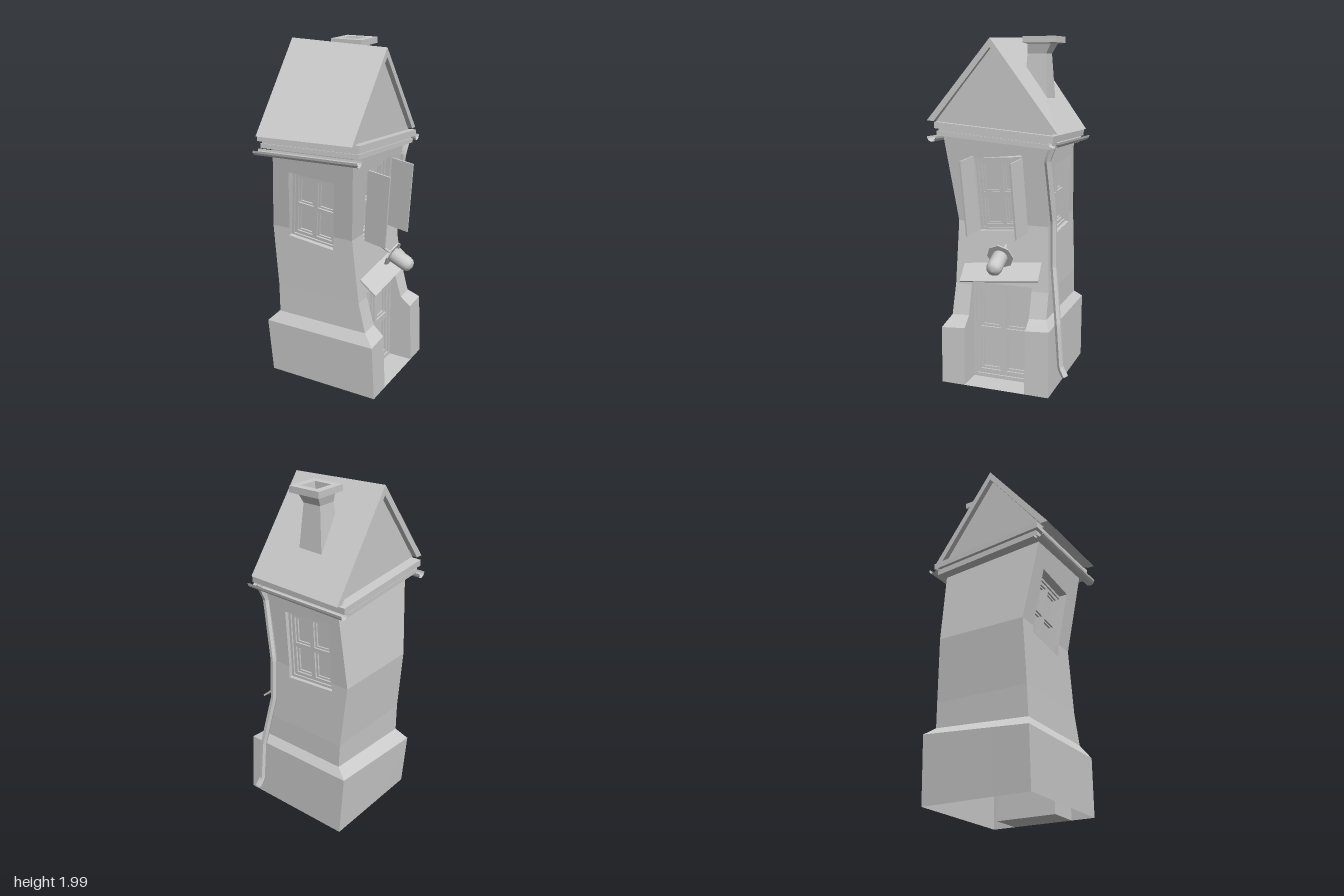
import * as THREE from 'three';
import { mergeGeometries } from 'three/addons/utils/BufferGeometryUtils.js';

const mat = new THREE.MeshStandardMaterial({ color: 0xcccccc, flatShading: true, side: THREE.DoubleSide });
const smooth = new THREE.MeshStandardMaterial({ color: 0xcccccc });
const V = (x, y, z) => new THREE.Vector3(x, y, z);
const lerp = THREE.MathUtils.lerp;

function add(parent, name, geo, material = mat) {
  const m = new THREE.Mesh(geo, material);
  m.name = name;
  parent.add(m);
  return m;
}

// Crooked tower profile: y, left x, right x, back z, front z, slope of the level along z
const LEVELS = [
  [0.01, -0.375, 0.325, -0.34, 0.31, 0],
  [0.365, -0.4, 0.31, -0.335, 0.315, -0.077],
  [0.42, -0.335, 0.245, -0.3, 0.275, -0.06],
  [0.58, -0.34, 0.2, -0.297, 0.27, 0],
  [0.95, -0.37, 0.155, -0.275, 0.265, 0],
  [1.45, -0.305, 0.2, -0.29, 0.337, 0],
];
function profile(y) {
  let i = 0;
  while (i < LEVELS.length - 2 && y > LEVELS[i + 1][0]) i++;
  const A = LEVELS[i], B = LEVELS[i + 1], t = (y - A[0]) / (B[0] - A[0]);
  return A.slice(1).map((v, k) => lerp(v, B[k + 1], t));
}

// Indices into the profile: outward face, left edge and right edge seen from outside
const SIDES = {
  left: { out: 0, a: 2, b: 3 },
  right: { out: 1, a: 3, b: 2 },
  back: { out: 2, a: 1, b: 0 },
  front: { out: 3, a: 0, b: 1 },
};
function place(side, c, y, out) {
  const p = profile(y), o = out ?? p[side.out];
  const [x, z] = side.out < 2 ? [o, c] : [c, o];
  return V(x, y + p[4] * z, z);
}

function quadGeometry(quads) {
  const pos = [];
  for (const [a, b, c, d] of quads) for (const p of [a, b, c, a, c, d]) pos.push(p.x, p.y, p.z);
  const g = new THREE.BufferGeometry();
  g.setAttribute('position', new THREE.Float32BufferAttribute(pos, 3));
  g.computeVertexNormals();
  return g;
}

// Box in the skewed frame of three corners: s and t are fractions, d is distance outward
function board(bl, br, tl, s0, s1, t0, t1, d0, d1) {
  const U = br.clone().sub(bl), W = tl.clone().sub(bl), N = U.clone().cross(W).normalize();
  const g = new THREE.BoxGeometry(s1 - s0, t1 - t0, d1 - d0);
  g.translate((s0 + s1) / 2, (t0 + t1) / 2, (d0 + d1) / 2);
  return g.applyMatrix4(new THREE.Matrix4().makeBasis(U, W, N).setPosition(bl));
}
function ring(c, s0, s1, t0, t1, ws, wt, d) {
  return [
    board(...c, s0, s0 + ws, t0, t1, 0, d), board(...c, s1 - ws, s1, t0, t1, 0, d),
    board(...c, s0 + ws, s1 - ws, t0, t0 + wt, 0, d), board(...c, s0 + ws, s1 - ws, t1 - wt, t1, 0, d),
  ];
}
// Frame, cross bars and four framed panes
function joinery(c) {
  const parts = [board(...c, 0, 1, 0, 1, -0.01, 0.004), ...ring(c, 0, 1, 0, 1, 0.05, 0.035, 0.035),
    ...ring(c, 0.05, 0.95, 0.035, 0.965, 0.06, 0.045, 0.025),
    board(...c, 0.455, 0.545, 0.08, 0.92, 0, 0.025),
    board(...c, 0.11, 0.455, 0.47, 0.53, 0, 0.025), board(...c, 0.545, 0.89, 0.47, 0.53, 0, 0.025)];
  for (const [s0, s1] of [[0.11, 0.455], [0.545, 0.89]])
    for (const [t0, t1] of [[0.08, 0.47], [0.53, 0.92]]) parts.push(...ring(c, s0, s1, t0, t1, 0.04, 0.025, 0.014));
  return mergeGeometries(parts);
}

// Wall grid. Rows: [y, left opening edge, right opening edge, y at left edge, y at right edge]
function wall(parent, name, rows, holes = []) {
  const side = SIDES[name], quads = [];
  const line = ([y, a, b, ya = y, yb = y]) => {
    const p = profile(y);
    return [place(side, p[side.a], y), place(side, a, ya), place(side, b, yb), place(side, p[side.b], y)];
  };
  const inner = (h, [y, a, b, ya = y, yb = y]) => {
    const y0 = rows[h.r0][0], o = lerp(h.in0, h.in1, (y - y0) / (rows[h.r1][0] - y0));
    return [place(side, a, ya, o), place(side, b, yb, o)];
  };
  for (let r = 0; r < rows.length - 1; r++) {
    const L = line(rows[r]), H = line(rows[r + 1]);
    const hole = holes.find((h) => r >= h.r0 && r < h.r1);
    for (let c = 0; c < 3; c++) if (c !== 1 || !hole) quads.push([L[c], L[c + 1], H[c + 1], H[c]]);
    if (!hole) continue;
    const l = inner(hole, rows[r]), h = inner(hole, rows[r + 1]);
    quads.push([L[1], l[0], h[0], H[1]], [l[1], L[2], H[2], h[1]]);
    if (r === hole.r0) quads.push([L[1], L[2], l[1], l[0]]);
    if (r === hole.r1 - 1) quads.push([h[0], h[1], H[2], H[1]]);
  }
  add(parent, name + 'Wall', quadGeometry(quads));
  for (const h of holes) {
    const [bl, br] = inner(h, rows[h.r0]), [tl] = inner(h, rows[h.r1]);
    add(parent, h.name, joinery([bl, br, tl]));
  }
}

// Rectangular loft. Rings: [y, centre x, centre z, half x, half z]
function loft(rings) {
  const pts = rings.map(([y, x, z, hx, hz]) => [[-1, 1], [1, 1], [1, -1], [-1, -1]].map(([i, j]) => V(x + i * hx, y, z + j * hz)));
  const quads = [pts[pts.length - 1]];
  for (let r = 0; r < pts.length - 1; r++)
    for (let i = 0; i < 4; i++) quads.push([pts[r][i], pts[r][(i + 1) % 4], pts[r + 1][(i + 1) % 4], pts[r + 1][i]]);
  return quadGeometry(quads);
}

// Roof section (z, y) run along x, with a slightly crooked ridge and eaves
function roofPiece(section, x0, x1) {
  const g = new THREE.ExtrudeGeometry(new THREE.Shape(section.map((p) => new THREE.Vector2(...p))), { depth: x1 - x0, bevelEnabled: false });
  g.rotateY(-Math.PI / 2).translate(x1, 0, 0);
  const p = g.attributes.position;
  for (let i = 0; i < p.count; i++) p.setY(i, p.getY(i) + (p.getX(i) + 0.3) * lerp(0.03, -0.03, (p.getY(i) - 1.48) / 0.52));
  g.computeVertexNormals();
  return g;
}

export function createModel() {
  const house = new THREE.Group();
  house.name = 'crookedHouse';

  // Walls with recessed windows and door
  const low = (a, b) => [[0.01, a, b], [0.365, a, b], [0.42, a, b], [0.58, a, b]];
  wall(house, 'left', [...low(-0.1, 0.1), [0.95, -0.1, 0.1], [1.45, -0.1, 0.1]]);
  wall(house, 'front',
    [...low(-0.265, 0.03), [0.89, -0.262, 0.032, 0.905, 0.87], [0.95, -0.257, 0.037], [1.295, -0.22, 0.07, 1.305, 1.28], [1.45, -0.22, 0.07]],
    [{ r0: 4, r1: 6, in0: 0.2, in1: 0.235, name: 'frontWindow' }]);
  wall(house, 'back',
    [...low(0.05, -0.265), [0.89, 0.045, -0.265, 0.88, 0.9], [0.95, 0.047, -0.262], [1.3, 0.06, -0.25, 1.29, 1.31], [1.45, 0.06, -0.25]],
    [{ r0: 4, r1: 6, in0: -0.22, in1: -0.225, name: 'backWindow' }]);
  wall(house, 'right',
    [...low(0.17, -0.197), [0.6, 0.17, -0.197], [0.91, 0.135, -0.155, 0.9, 0.92], [0.95, 0.138, -0.152], [1.335, 0.16, -0.13, 1.32, 1.35], [1.45, 0.16, -0.13]],
    [{ r0: 0, r1: 4, in0: 0.14, in1: 0.14, name: 'door' }, { r0: 5, r1: 7, in0: 0.095, in1: 0.125, name: 'rightWindow' }]);

  // Open shutters beside the right window
  for (const [name, z] of [['frontShutter', 0.135], ['backShutter', -0.158]])
    add(house, name, board(V(0.165, 0.91, z), V(0.305, 0.895, z + 0.018), V(0.2, 1.335, z + 0.022), 0, 1, 0, 1, -0.005, 0.005));

  // Roof shell, recessed gables and tilted cornice
  add(house, 'roof', roofPiece([[0.42, 1.515], [0.035, 1.998], [-0.352, 1.458], [-0.31, 1.458], [0.035, 1.945], [0.375, 1.515]], -0.357, 0.24));
  add(house, 'gables', roofPiece([[0.38, 1.505], [0.035, 1.95], [-0.315, 1.45]], -0.325, 0.212));
  const cornice = new THREE.Group();
  cornice.name = 'cornice';
  cornice.position.set(-0.065, 1.45, 0.02);
  cornice.rotation.set(0.085 * -1, 0, 0.025);
  house.add(cornice);
  for (const [w, h, d, y] of [[0.64, 0.036, 0.7, 0.02], [0.6, 0.014, 0.66, -0.004], [0.615, 0.026, 0.675, -0.024]])
    add(cornice, 'corniceTier', new THREE.BoxGeometry(w, h, d)).position.set(0, y, 0);

  // Half-round gutters under both eaves
  for (const [name, y, z] of [['frontGutter', 1.435, 0.38], ['backGutter', 1.425, -0.335]]) {
    const half = (r) => new THREE.CylinderGeometry(r, r, 0.65, 8, 1, true, Math.PI, Math.PI).rotateZ(Math.PI / 2);
    const g = add(house, name, mergeGeometries([half(0.03), half(0.024)]));
    g.position.set(-0.065, y, z);
    g.rotation.z = 0.025;
  }

  // Downpipe bending along the back corner
  const path = new THREE.CatmullRomCurve3([V(0.21, 1.43, -0.325), V(0.2, 1.33, -0.285), V(0.14, 0.98, -0.305), V(0.145, 0.72, -0.31),
    V(0.2, 0.4, -0.355), V(0.205, 0.15, -0.375), V(0.215, 0.1, -0.405)], false, 'catmullrom', 0);
  add(house, 'downpipe', new THREE.TubeGeometry(path, 60, 0.019, 6));

  // Chimney with flared top and hollow cap
  add(house, 'chimney', loft([[1.6, -0.07, -0.147, 0.08, 0.075], [1.9, -0.07, -0.148, 0.055, 0.055], [1.955, -0.07, -0.165, 0.068, 0.068],
    [1.96, -0.073, -0.172, 0.097, 0.097], [1.995, -0.073, -0.172, 0.097, 0.097], [1.995, -0.073, -0.172, 0.055, 0.056], [1.93, -0.073, -0.165, 0.05, 0.05]]));

  // Slanted awning over the door
  const awning = add(house, 'awning', new THREE.BoxGeometry(0.127, 0.01, 0.475));
  awning.position.set(0.228, 0.682, -0.02);
  awning.rotation.set(0.1, 0, -0.73);

  // Wall lamp: arm, octagonal shade and round-ended bulb along a drooping axis
  const lamp = new THREE.Group();
  lamp.name = 'lamp';
  lamp.position.set(0.262, 0.785, -0.032);
  lamp.rotation.z = -Math.PI / 2 - 0.43;
  house.add(lamp);
  add(lamp, 'lampArm', new THREE.CylinderGeometry(0.007, 0.007, 0.13, 6)).position.y = -0.06;
  add(lamp, 'lampShade', new THREE.CylinderGeometry(0.078, 0.078, 0.008, 8));
  const bulb = [[0, 0], [0.045, 0], [0.045, 0.1], [0.04, 0.12], [0.027, 0.135], [0, 0.142]].map((p) => new THREE.Vector2(...p));
  add(lamp, 'lampBulb', new THREE.LatheGeometry(bulb, 16), smooth);
  return house;
}
